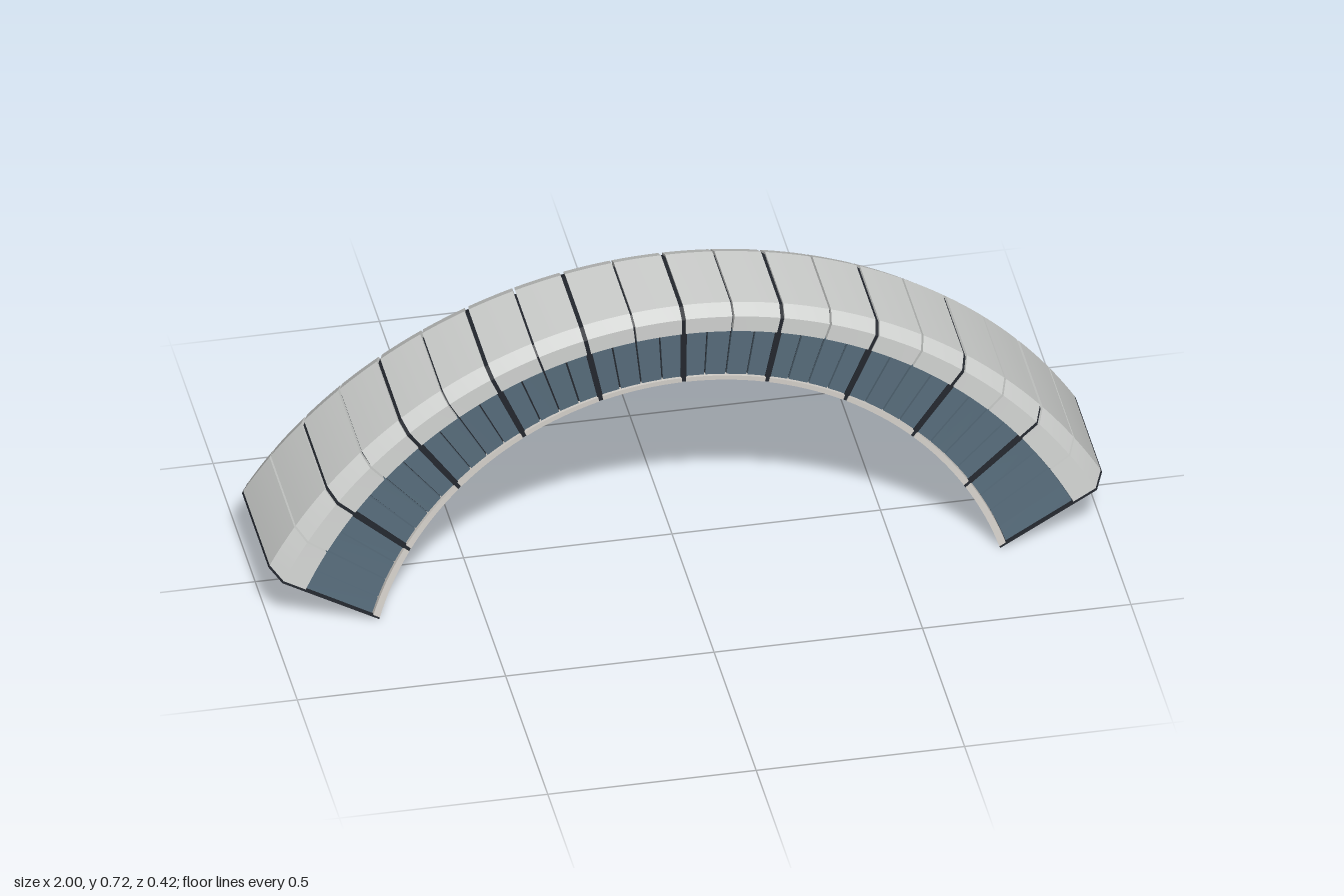
import * as THREE from 'three';
import { mergeGeometries, toCreasedNormals } from 'three/addons/utils/BufferGeometryUtils.js';

const RADIUS = 1.1547, CENTRE_Y = -0.43, END = 60, SEGMENT = 12;

// Point on the arch: t = degrees from the crown, w = fraction of half width,
// d = fraction of depth (0 outer face, 1 inner face). It swells towards the feet.
function archPoint(t, [w, d]) {
  const swell = (t / END) ** 2;
  const halfWidth = 0.142 + 0.068 * swell;
  const r = RADIUS - d * (0.195 + 0.0997 * swell);
  const a = THREE.MathUtils.degToRad(t);
  return [r * Math.sin(a), CENTRE_Y + r * Math.cos(a), w * halfWidth];
}

// Sweep a closed (w, d) profile along the arch from t0 to t1
function sweep(profile, t0, t1) {
  let pts = profile.map(p => new THREE.Vector2(...p));
  if (THREE.ShapeUtils.area(pts) < 0) pts.reverse();
  const steps = Math.max(1, Math.ceil((t1 - t0) / 1.5));
  const out = [];
  const put = (t, p) => out.push(...archPoint(t, [p.x, p.y]));
  for (let s = 0; s < steps; s++) {
    const a = t0 + (t1 - t0) * s / steps;
    const b = t0 + (t1 - t0) * (s + 1) / steps;
    pts.forEach((p, i) => {
      const q = pts[(i + 1) % pts.length];
      put(a, p); put(a, q); put(b, q);
      put(a, p); put(b, q); put(b, p);
    });
  }
  for (const [i, j, k] of THREE.ShapeUtils.triangulateShape(pts, [])) {
    put(t1, pts[i]); put(t1, pts[j]); put(t1, pts[k]);
    put(t0, pts[k]); put(t0, pts[j]); put(t0, pts[i]);
  }
  const geo = new THREE.BufferGeometry();
  geo.setAttribute('position', new THREE.Float32BufferAttribute(out, 3));
  return toCreasedNormals(geo, 0.2);
}

// Repeat a profile in pieces, with wide gaps at the main joints and fine ones between
function pieces(profile, pitch, wideGap, fineGap) {
  const list = [];
  for (let t = -END; t < END; t += pitch) {
    const gap = edge => (Math.abs(edge) === END ? 0.3 : edge % SEGMENT === 0 ? wideGap / 2 : fineGap / 2);
    list.push(sweep(profile, t + gap(t), t + pitch - gap(t + pitch)));
  }
  return list;
}

const box = (w0, w1, d0, d1) => [[w0, d0], [w1, d0], [w1, d1], [w0, d1]];

// Symmetric profile from its +w half
const mirrored = half => [...half, ...half.map(([w, d]) => [-w, d]).reverse()];

export function createModel() {
  const material = (name, color) => {
    const m = new THREE.MeshStandardMaterial({ color });
    m.name = name;
    return m;
  };
  const lightGrey = material('light grey shell', 0xcfd1cf);
  const warmGrey = material('warm grey trim', 0xd2cec8);
  const slateBlue = material('slate blue panel', 0x566b7a);
  const charcoal = material('charcoal frame', 0x23272e);

  const group = new THREE.Group();
  group.name = 'segmentedArch';
  const add = (name, geometries, mat) => {
    const mesh = new THREE.Mesh(mergeGeometries(geometries), mat);
    mesh.name = name;
    group.add(mesh);
  };

  // Dark core running through the whole arch
  add('core', [sweep(mirrored([[0.72, 0.04], [0.9, 0.13], [0.9, 0.965]]), -END + 0.1, END - 0.1)], charcoal);

  // Chamfered outer plates, wrapping over the shoulders
  const shell = mirrored([[0.75, 0], [1, 0.09], [1, 0.3], [0.88, 0.3], [0.88, 0.13], [0.7, 0.06]]);
  add('outerShell', pieces(shell, 6, 0.5, 0.26), lightGrey);

  // Panels on both flanks and rails along the inner edges
  for (const [side, s] of [['front', 1], ['back', -1]]) {
    add(side + 'SidePanels', pieces(box(s * 0.88, s * 0.96, 0.31, 0.935), 3, 0.8, 0.22), slateBlue);
    add(side + 'InnerRail', pieces(box(s * 0.85, s, 0.94, 1), SEGMENT, 0.6, 0), warmGrey);
  }

  // Three rows of panels under the arch
  const under = [[-0.83, -0.31], [-0.28, 0.28], [0.31, 0.83]]
    .flatMap(([a, b]) => pieces(box(a, b, 0.95, 0.985), SEGMENT, 0.8, 0));
  add('undersidePanels', under, slateBlue);

  // Dark ribs at the main joints
  const ribProfile = mirrored([[0.74, 0.025], [0.975, 0.11], [0.975, 1.005]]);
  const ribs = [];
  for (let t = -END + SEGMENT; t < END; t += SEGMENT) ribs.push(sweep(ribProfile, t - 0.4, t + 0.4));
  add('jointRibs', ribs, charcoal);

  // Closing plates at both feet
  const capProfile = mirrored([[0.75, 0], [1, 0.09], [1, 1]]);
  add('endPlates', [sweep(capProfile, -END, -END + 0.3), sweep(capProfile, END - 0.3, END)], charcoal);

  return group;
}
